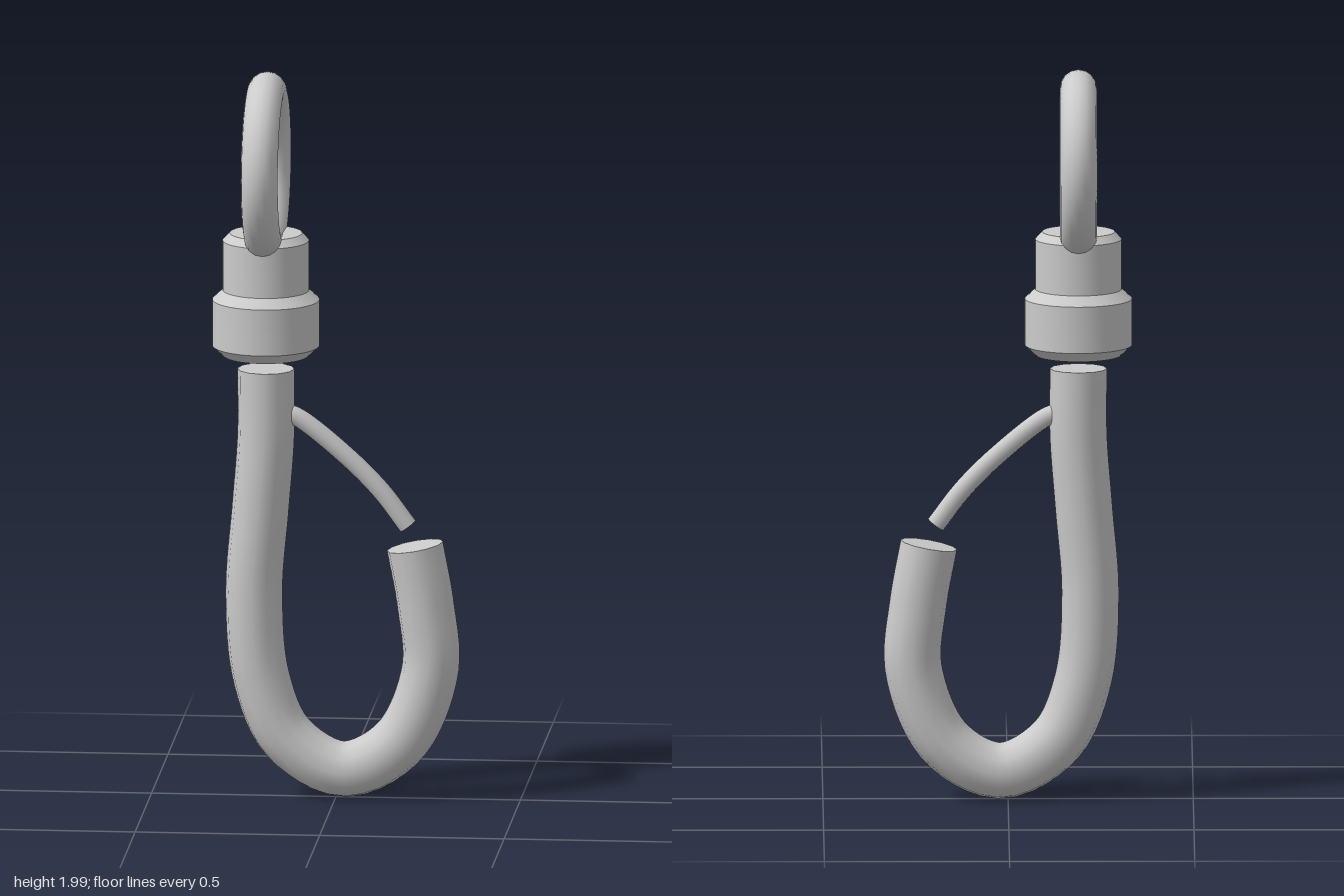
import * as THREE from 'three';
import { toCreasedNormals } from 'three/addons/utils/BufferGeometryUtils.js';

const material = new THREE.MeshStandardMaterial({ color: 0xcccccc });
const SHANK_X = -0.19;

function mesh(name, geometry) {
  const m = new THREE.Mesh(geometry, material);
  m.name = name;
  return m;
}

// Round bar bent along points in the xy plane, with flat ends
function bar(name, points, radius, segments, sides) {
  const curve = new THREE.CatmullRomCurve3(points.map(([x, y]) => new THREE.Vector3(x, y, 0)));
  const group = new THREE.Group();
  group.name = name;
  group.add(mesh(name + 'Bar', new THREE.TubeGeometry(curve, segments, radius, sides)));
  for (const end of [0, 1]) {
    const cap = mesh(name + 'End', new THREE.CircleGeometry(radius, sides));
    const point = curve.getPointAt(end);
    const outward = curve.getTangentAt(end).multiplyScalar(end ? 1 : -1);
    cap.position.copy(point);
    cap.lookAt(point.clone().add(outward));
    group.add(cap);
  }
  return group;
}

export function createModel() {
  const model = new THREE.Group();
  model.name = 'swivelHook';

  // Eye ring standing across the hook
  const ring = mesh('eyeRing', new THREE.TorusGeometry(0.205, 0.05, 16, 64));
  ring.rotation.y = Math.PI / 2;
  ring.position.set(SHANK_X, 1.745, 0);
  model.add(ring);

  // Stepped, chamfered swivel collar
  const profile = [
    [0, 1.222], [0.115, 1.222], [0.145, 1.25], [0.145, 1.377],
    [0.117, 1.403], [0.117, 1.54], [0.098, 1.56], [0, 1.56],
  ].map(([r, y]) => new THREE.Vector2(r, y));
  const collar = mesh('swivelCollar', toCreasedNormals(new THREE.LatheGeometry(profile, 48), 0.5));
  collar.position.x = SHANK_X;
  model.add(collar);

  // Hook: straight shank, slight outward bulge, round bend and leaning tip
  model.add(bar('hook', [
    [SHANK_X, 1.185], [-0.19, 1.0], [-0.205, 0.8], [-0.222, 0.57], [-0.202, 0.33],
    [-0.13, 0.166], [0.02, 0.083], [0.17, 0.16], [0.255, 0.36], [0.243, 0.54], [0.214, 0.702],
  ], 0.077, 64, 12));

  // Thin curved spring latch across the mouth
  model.add(bar('latch', [
    [-0.145, 1.068], [-0.1, 1.05], [0.04, 0.937], [0.125, 0.85], [0.195, 0.757],
  ], 0.026, 24, 12));

  return model;
}
